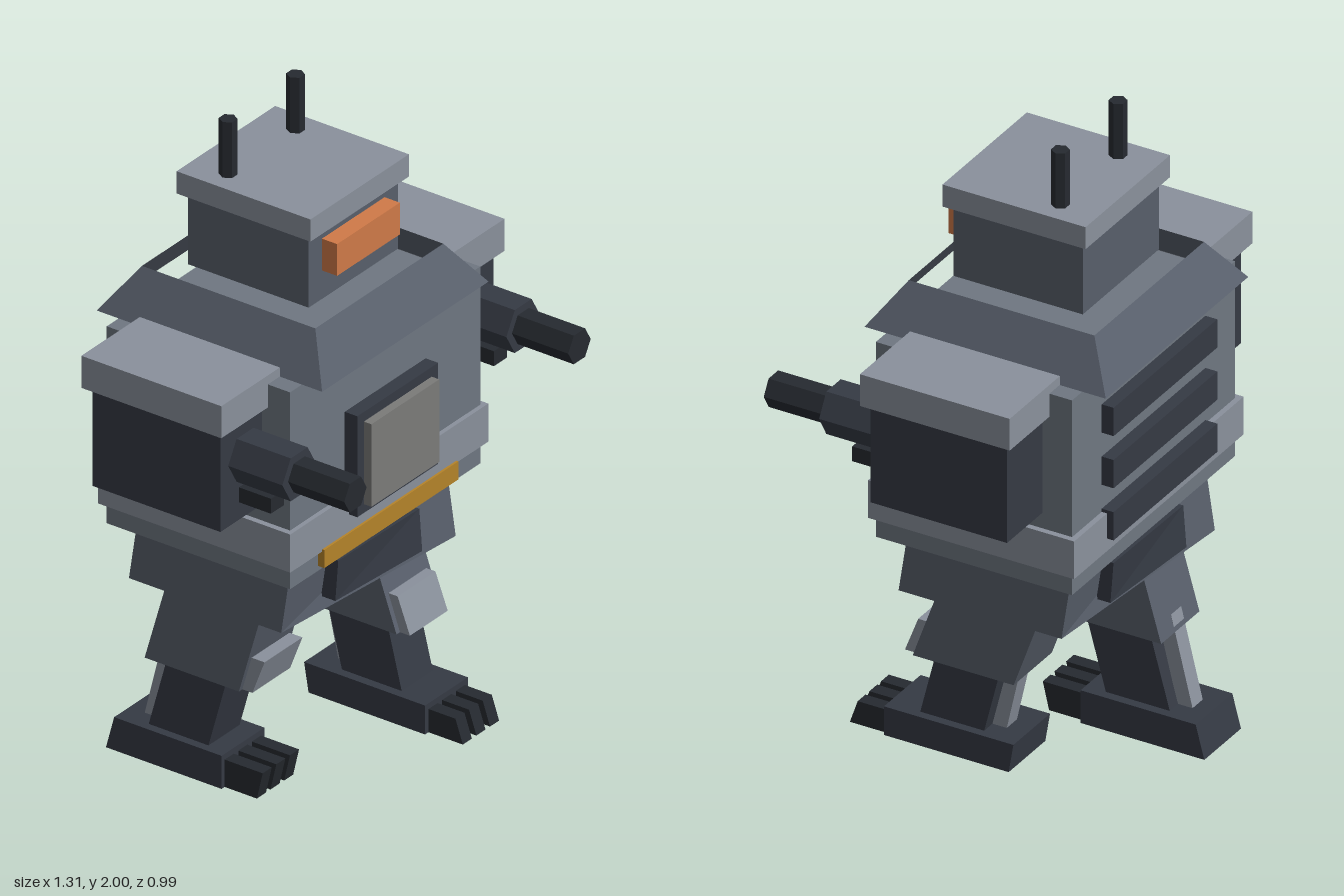
import * as THREE from 'three';

const mat = (color, extra = {}) => new THREE.MeshStandardMaterial({ color, flatShading: true, ...extra });
const LIGHT = mat(0x8a919c), HULL = mat(0x6f7781), MID = mat(0x585f6b), DARK = mat(0x353a44),
  BLACK = mat(0x262a30), ORANGE = mat(0xd07a48), YELLOW = mat(0xb5842a), PANEL = mat(0x7b7b79);

export function createModel() {
  const model = new THREE.Group();
  model.name = 'walkerRobot';

  const add = (parent, name, geometry, material) => {
    const mesh = new THREE.Mesh(geometry, material);
    mesh.name = name;
    parent.add(mesh);
    return mesh;
  };
  const group = (name) => {
    const g = new THREE.Group();
    g.name = name;
    model.add(g);
    return g;
  };
  // Box given by its limits on each axis
  const box = (x0, x1, y0, y1, z0, z1) =>
    new THREE.BoxGeometry(x1 - x0, y1 - y0, z1 - z0).translate((x0 + x1) / 2, (y0 + y1) / 2, (z0 + z1) / 2);
  // Move every vertex depth by a rule
  const moveZ = (geometry, rule) => {
    const p = geometry.attributes.position;
    for (let i = 0; i < p.count; i++) p.setZ(i, rule(p.getX(i), p.getY(i), p.getZ(i)));
    geometry.computeVertexNormals();
    return geometry;
  };
  // Leaning block: separate depth limits [back, front] at bottom and top
  const lean = (x, w, y0, y1, bottom, top) =>
    moveZ(box(x - w / 2, x + w / 2, y0, y1, -1, 1), (px, py, pz) =>
      (py < (y0 + y1) / 2 ? bottom : top)[pz < 0 ? 0 : 1]);
  // Six-sided rod with corners pointing sideways
  const hex = (r, length) => new THREE.CylinderGeometry(r, r, length, 6, 1, false, Math.PI / 6);

  // Head with cap, visor and antennae
  const head = group('head');
  add(head, 'skull', box(-0.206, 0.206, 1.53, 1.76, -0.305, 0.108), MID);
  add(head, 'headCap', box(-0.228, 0.228, 1.755, 1.825, -0.327, 0.13), LIGHT);
  add(head, 'visor', box(-0.145, 0.145, 1.62, 1.72, 0.1, 0.16), ORANGE);
  for (const s of [-1, 1])
    add(head, 'antenna', hex(0.026, 0.19).translate(s * 0.156, 1.905, -0.204), BLACK);

  // Open sloping collar
  const collar = new THREE.CylinderGeometry(0.296 * Math.SQRT2, 0.385 * Math.SQRT2, 0.13, 4, 1, true, Math.PI / 4);
  add(model, 'collar', collar.translate(0, 1.47, -0.099), mat(0x585f6b, { side: THREE.DoubleSide }));

  // Torso
  const torso = group('torso');
  add(torso, 'chest', box(-0.44, 0.44, 0.785, 1.405, -0.409, 0.217), HULL);
  add(torso, 'waistBand', box(-0.458, 0.458, 0.85, 0.97, -0.426, 0.231), LIGHT);
  add(torso, 'warningStrip', box(-0.31, 0.31, 0.8, 0.857, 0.2, 0.238), YELLOW);
  add(torso, 'hatchFrame', box(-0.187, 0.187, 0.912, 1.23, 0.2, 0.26), DARK);
  add(torso, 'hatchPanel', box(-0.157, 0.157, 0.94, 1.2, 0.25, 0.286), PANEL);
  for (const y of [0.935, 1.101, 1.267])
    add(torso, 'backVent', box(-0.28, 0.28, y - 0.045, y + 0.045, -0.447, -0.4), DARK);

  // Hips, twisted by the stride: the left side swings forward, the right side back
  const twist = (g) => moveZ(g, (x, y, z) => z + 0.42 * x * (0.785 - y));
  const hips = group('hips');
  add(hips, 'pelvis', twist(box(-0.362, 0.362, 0.583, 0.79, -0.36, 0.16)), MID);
  add(hips, 'frontHipPlate', twist(box(-0.185, 0.183, 0.622, 0.752, 0.1, 0.196)), DARK);
  add(hips, 'backHipPlate', twist(box(-0.185, 0.183, 0.622, 0.752, -0.392, -0.3)), DARK);

  // Arms
  for (const s of [-1, 1]) {
    const arm = group(s > 0 ? 'leftArm' : 'rightArm');
    const side = (a, b, ...rest) => (s > 0 ? box(a, b, ...rest) : box(-b, -a, ...rest));
    add(arm, 'armHousing', side(0.408, 0.632, 1.02, 1.42, -0.315, 0.121), DARK);
    add(arm, 'shoulderCap', side(0.384, 0.655, 1.332, 1.433, -0.337, 0.141), LIGHT);
    add(arm, 'forearm', hex(0.078, 0.21).rotateX(Math.PI / 2).translate(s * 0.518, 1.212, 0.201), DARK);
    add(arm, 'barrel', hex(0.052, 0.22).rotateX(Math.PI / 2).translate(s * 0.518, 1.212, 0.388), BLACK);
    add(arm, 'lowerNozzle', side(0.485, 0.546, 1.075, 1.122, 0.1, 0.23), BLACK);
  }

  // Legs in mid stride: s gives the side, lift raises the foot
  for (const [s, lift] of [[1, 0.08], [-1, 0]]) {
    const leg = group(s > 0 ? 'leftLeg' : 'rightLeg');
    const x = s * 0.229;
    const knee = s > 0 ? 0.37 : 0.33;
    const ankle = 0.09 + lift;
    const at = (c, back, front) => [c + back, c + front];
    const hipZ = -0.1 + s * 0.02, kneeZ = -0.098 + s * 0.1, ankleZ = s > 0 ? 0.057 : -0.27;
    add(leg, 'thigh', lean(x, 0.207, knee, 0.6, at(kneeZ, -0.161, 0.161), at(hipZ, -0.161, 0.161)), MID);
    const padZ = kneeZ + 0.161, padTopZ = padZ - s * 0.042;
    add(leg, 'kneePad', lean(x, 0.175, knee, knee + 0.11, at(padZ, -0.05, 0.034), at(padTopZ, -0.05, 0.034)), LIGHT);
    add(leg, 'shin', lean(x, 0.144, ankle, knee + 0.02, at(ankleZ, -0.102, 0.102), at(kneeZ, -0.102, 0.102)), DARK);
    add(leg, 'calfPiston', lean(x, 0.055, ankle, knee + 0.05, at(ankleZ, -0.148, -0.1), at(kneeZ, -0.148, -0.1)), LIGHT);

    // Foot with three toes
    const heel = s > 0 ? [-0.14, -0.155] : [-0.495, -0.467];
    const front = s > 0 ? 0.258 : -0.1;
    const tip = s > 0 ? [0.375, 0.35] : [0.01, 0.03];
    const sole = s > 0 ? 0.085 : 0;
    const top = s > 0 ? 0.176 : 0.104;
    add(leg, 'foot', lean(x - s * 0.001, 0.198, sole, top, [heel[0], front], [heel[1], front]), DARK);
    for (const t of [-1, 0, 1])
      add(leg, 'toe', lean(x + t * 0.063, 0.042, sole, top - 0.018, [front - 0.03, tip[0]], [front - 0.03, tip[1]]), BLACK);
  }
  return model;
}
